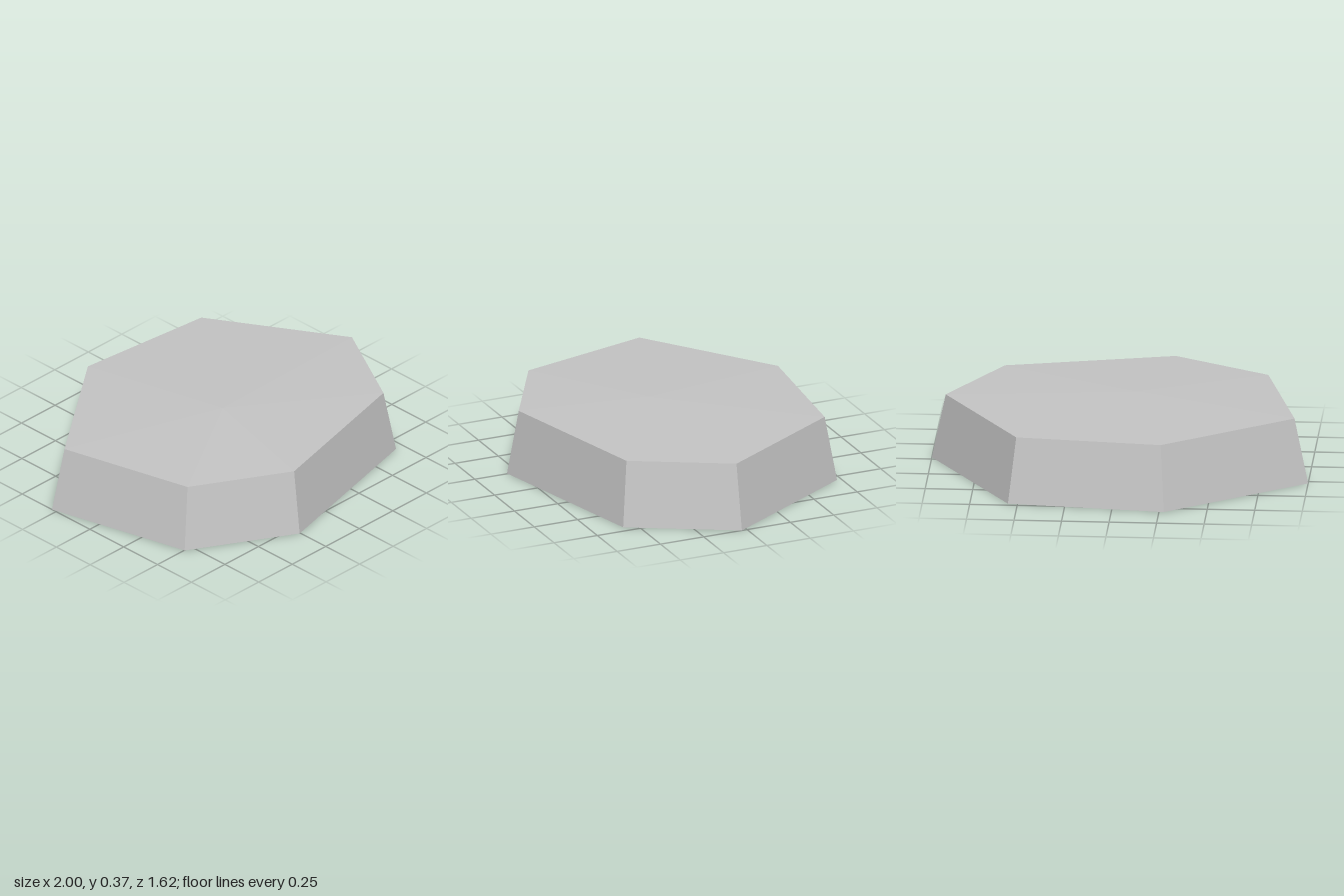
import * as THREE from 'three';

// Outline of the base as [x, z], running from +x towards +z
const OUTLINE = [
  [1, 0.03], [0.7, 0.578], [-0.255, 0.812], [-0.8, 0.502],
  [-1, -0.28], [-0.275, -0.812], [0.55, -0.725],
];
const TAPER = 0.927;
const RIM_HEIGHT = 0.35;
const PEAK = [-0.08, 0.374, 0.07];

// Unshared corners give each triangle its own flat normal
function facetedMesh(name, triangles, material) {
  const geometry = new THREE.BufferGeometry();
  geometry.setAttribute('position', new THREE.Float32BufferAttribute(triangles.flat(2), 3));
  geometry.computeVertexNormals();
  const mesh = new THREE.Mesh(geometry, material);
  mesh.name = name;
  return mesh;
}

export function createModel() {
  const group = new THREE.Group();
  group.name = 'flatStone';

  const stone = new THREE.MeshStandardMaterial({ color: 0xc4c4c4 });
  stone.name = 'light stone grey';

  const base = OUTLINE.map(([x, z]) => [x, 0, z]);
  const rim = OUTLINE.map(([x, z]) => [x * TAPER, RIM_HEIGHT, z * TAPER]);
  const top = [], sides = [], bottom = [];

  base.forEach((a, i) => {
    const j = (i + 1) % base.length;
    top.push([PEAK, rim[j], rim[i]]);
    sides.push([a, rim[i], rim[j]], [a, rim[j], base[j]]);
    bottom.push([[0, 0, 0], a, base[j]]);
  });

  // Slightly domed top, sloping sides and flat underside
  group.add(
    facetedMesh('stoneTop', top, stone),
    facetedMesh('stoneSides', sides, stone),
    facetedMesh('stoneUnderside', bottom, stone),
  );
  return group;
}
